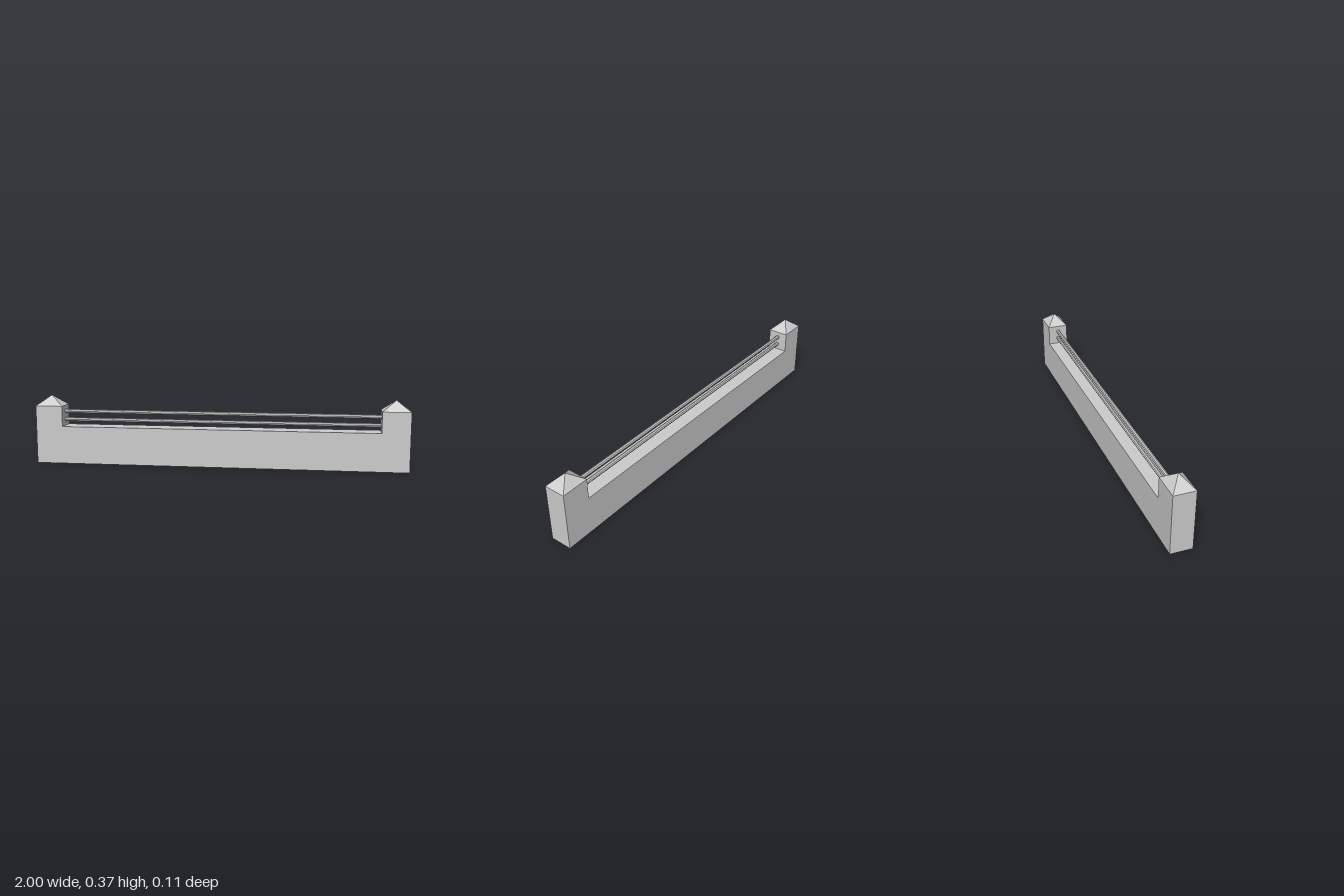
import * as THREE from 'three';

const DEPTH = 0.113;
const POST_W = 0.147;
const WALL_H = 0.203;
const POST_H = 0.314;
const CAP_H = 0.056;

export function createModel() {
  const group = new THREE.Group();
  const material = new THREE.MeshStandardMaterial({ color: 0xcccccc, flatShading: true });
  const add = (name, geometry, x = 0, y = 0, z = 0) => {
    const mesh = new THREE.Mesh(geometry, material);
    mesh.name = name;
    mesh.position.set(x, y, z);
    group.add(mesh);
  };

  // Low wall and its two end posts, one U-shaped outline
  const inner = 1 - POST_W;
  const outline = new THREE.Shape([
    [-1, 0], [1, 0], [1, POST_H], [inner, POST_H],
    [inner, WALL_H], [-inner, WALL_H], [-inner, POST_H], [-1, POST_H],
  ].map(([x, y]) => new THREE.Vector2(x, y)));
  add('wallWithPosts', new THREE.ExtrudeGeometry(outline, { depth: DEPTH, bevelEnabled: false }), 0, 0, -DEPTH / 2);

  // Pyramid caps on the posts
  for (const [name, side] of [['leftCap', 1], ['rightCap', -1]]) {
    const cap = new THREE.ConeGeometry(Math.SQRT1_2, CAP_H, 4, 1, true);
    cap.rotateY(Math.PI / 4).scale(POST_W, 1, DEPTH);
    add(name, cap, side * (1 - POST_W / 2), POST_H + CAP_H / 2);
  }

  // Two thin rails between the posts
  for (const [name, y] of [['upperRail', 0.282], ['lowerRail', 0.237]]) {
    const rail = new THREE.CylinderGeometry(0.0105, 0.0105, 2 * inner + 0.01, 8, 1, true);
    rail.rotateZ(Math.PI / 2);
    add(name, rail, 0, y);
  }

  return group;
}
